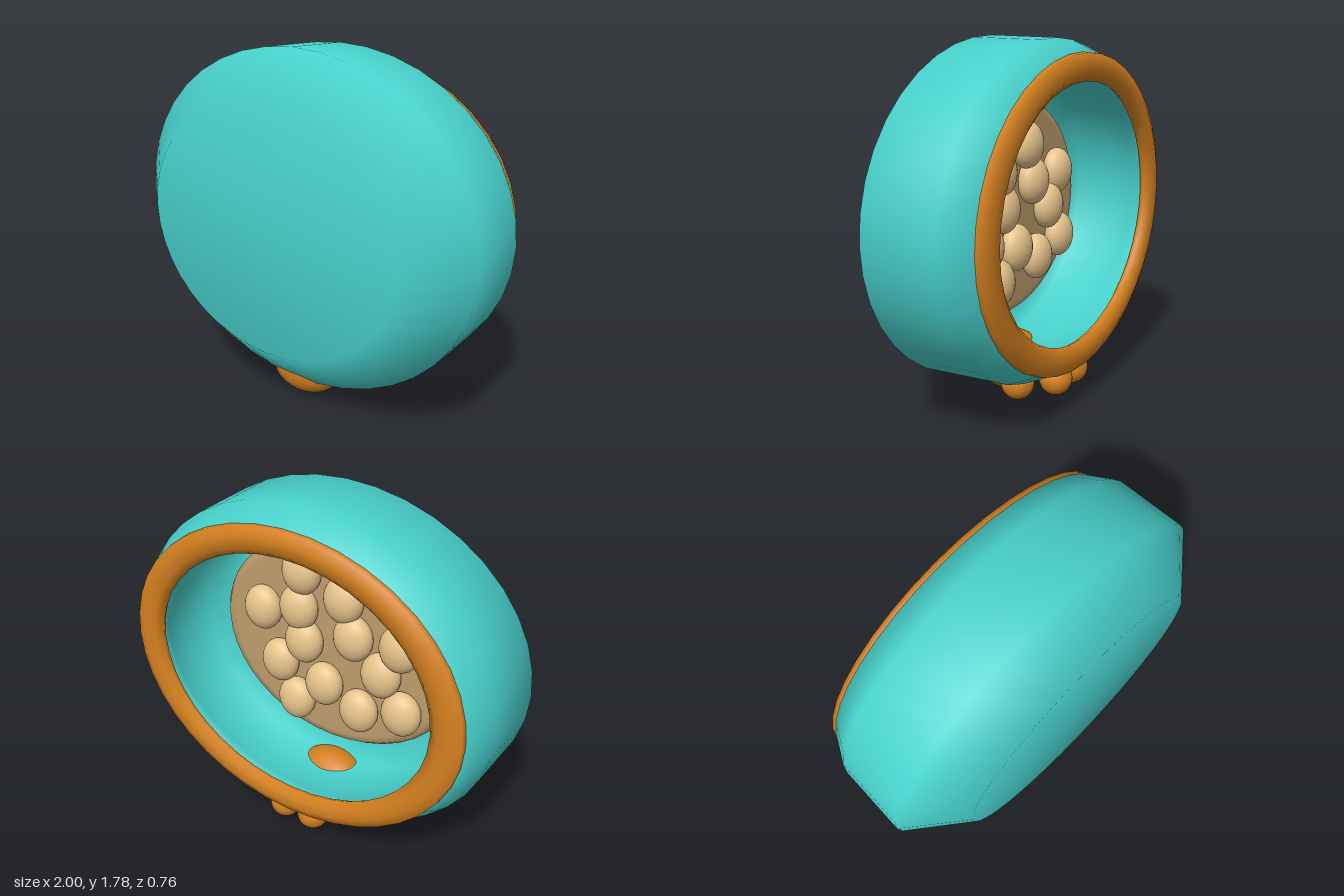
import * as THREE from 'three';

const mat = (color) => new THREE.MeshStandardMaterial({ color });
const CENTER_Y = 0.95; // height of the bowl axis
const SQUASH = 0.835;  // oval height relative to width

// Oval part turned around the z axis from [radius, z] points
function turned(name, profile, material, segments = 40) {
  const points = profile.map(([r, z]) => new THREE.Vector2(r, z));
  const geometry = new THREE.LatheGeometry(points, segments);
  geometry.rotateX(Math.PI / 2);
  const mesh = new THREE.Mesh(geometry, material);
  mesh.name = name;
  mesh.scale.y = SQUASH;
  mesh.position.y = CENTER_Y;
  return mesh;
}

function ellipsoid(name, position, radii, material) {
  const mesh = new THREE.Mesh(new THREE.SphereGeometry(1, 28, 20), material);
  mesh.name = name;
  mesh.position.set(...position);
  mesh.scale.set(...radii);
  return mesh;
}

export function createModel() {
  const model = new THREE.Group();
  model.name = 'foodBowl';
  const teal = mat(0x48d1cc);
  const orange = mat(0xd4801f);
  const tan = mat(0xbf9d6d);
  const cream = mat(0xe8c48c);

  // Hollow bowl, open toward the back: inside floor, inner wall, outer wall, front face
  model.add(turned('bowl', [
    [0, 0.2], [0.72, 0.2], [0.85, 0.1], [0.86, -0.1], [0.83, -0.24], [0.78, -0.34],
    [0.905, -0.345], [0.985, -0.2], [1, 0.16], [0.73, 0.38], [0, 0.38],
  ], teal));

  // Flattened round rim
  model.add(turned('rim', [
    [0.77, -0.32], [0.75, -0.35], [0.79, -0.378], [0.85, -0.385],
    [0.905, -0.365], [0.91, -0.34], [0.9, -0.32],
  ], orange));

  // Layer of food with a rounded edge
  model.add(turned('foodBed', [
    [0, 0.04], [0.6, 0.04], [0.645, 0.046], [0.67, 0.075], [0.67, 0.2],
  ], tan));

  // Food pieces lying on the bed
  const pieces = new THREE.Group();
  pieces.name = 'foodPieces';
  [
    [0.15, 1.34], [0.39, 1.08], [0.17, 1.14], [-0.09, 1.25], [0.14, 0.96],
    [-0.146, 1.06], [-0.4, 1.08], [0.29, 0.8], [0.02, 0.745], [-0.305, 0.905],
    [0.19, 0.6], [-0.186, 0.655], [-0.425, 0.725],
  ].forEach(([x, y]) => pieces.add(ellipsoid('foodPiece', [x, y, 0.01], [0.105, 0.12, 0.075], cream)));
  model.add(pieces);

  // Paw under the bowl: one wide pad and four toes
  const paw = new THREE.Group();
  paw.name = 'paw';
  paw.add(ellipsoid('pawPad', [0, 0.145, 0.06], [0.2, 0.145, 0.135], orange));
  for (const side of [-1, 1]) {
    paw.add(ellipsoid('outerToe', [side * 0.225, 0.13, -0.12], [0.083, 0.083, 0.083], orange));
    paw.add(ellipsoid('innerToe', [side * 0.085, 0.13, -0.255], [0.083, 0.083, 0.083], orange));
  }
  model.add(paw);

  return model;
}
